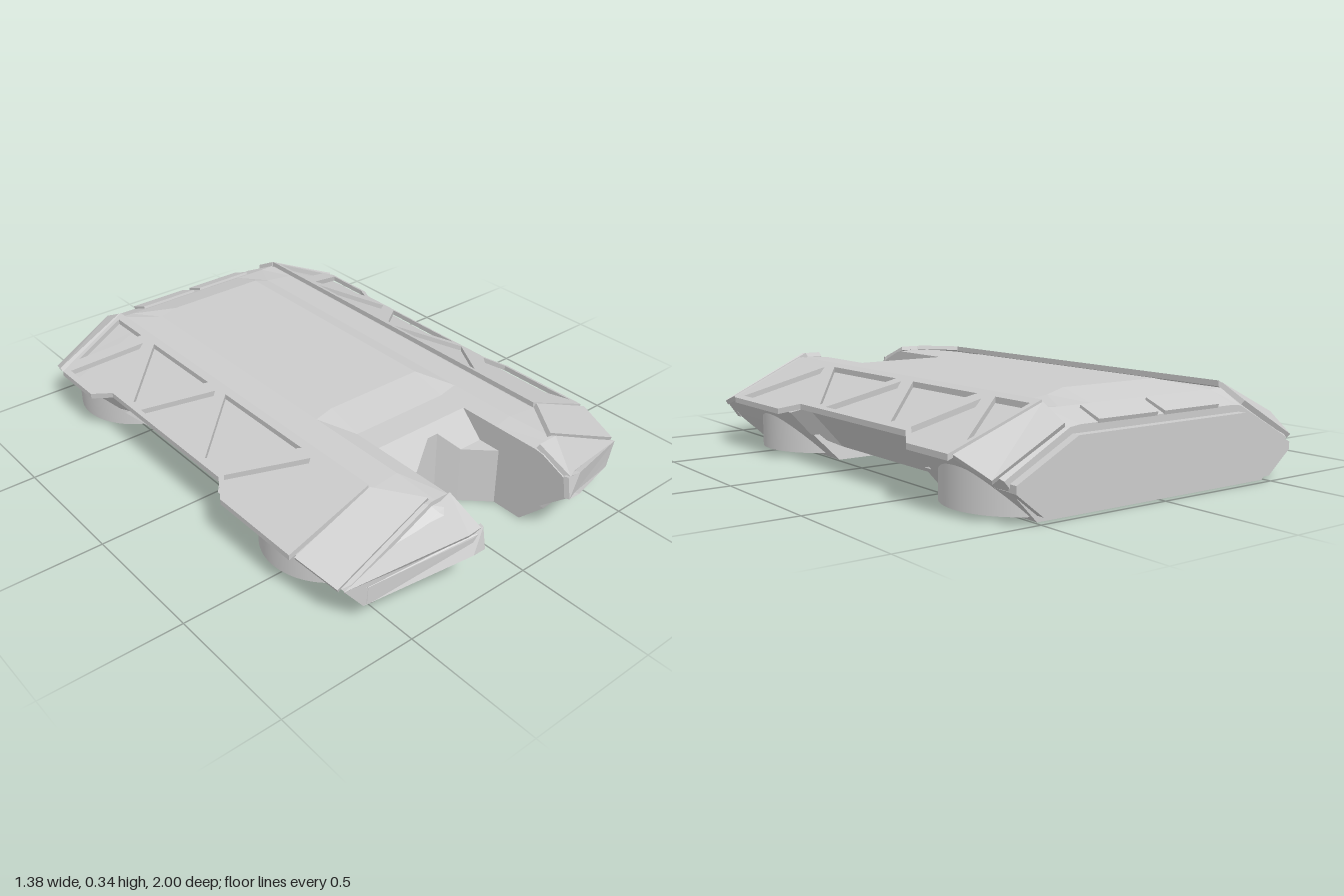
import * as THREE from 'three';

const material = new THREE.MeshStandardMaterial({ color: 0xcccccc, flatShading: true, side: THREE.DoubleSide });
const smooth = new THREE.MeshStandardMaterial({ color: 0xcccccc, side: THREE.DoubleSide });

// Faces are lists of [x, y, z] corners, fanned from the first corner
const flip = (faces) => faces.map((f) => f.map(([x, y, z]) => [-x, y, z]).reverse());
const both = (faces) => [...faces, ...flip(faces)];

function solid(faces) {
  const p = [];
  for (const f of faces)
    for (let i = 1; i < f.length - 1; i++) p.push(...f[0], ...f[i], ...f[i + 1]);
  const g = new THREE.BufferGeometry();
  g.setAttribute('position', new THREE.Float32BufferAttribute(p, 3));
  g.computeVertexNormals();
  return g;
}

// Quads between successive cross-sections
function loft(sections, closed = false) {
  const faces = [];
  for (let s = 0; s < sections.length - 1; s++) {
    const a = sections[s], b = sections[s + 1], n = a.length;
    for (let i = 0; i < (closed ? n : n - 1); i++) {
      const j = (i + 1) % n;
      faces.push([a[i], b[i], b[j], a[j]]);
    }
  }
  return faces;
}

// Thin plate: corner loop thickened away from the hint direction
function plate(points, t, hint) {
  const n = new THREE.Vector3();
  points.forEach((p, i) => {
    const q = points[(i + 1) % points.length];
    n.add(new THREE.Vector3(...p).cross(new THREE.Vector3(...q)));
  });
  n.normalize();
  let top = points;
  if (n.dot(new THREE.Vector3(...hint)) < 0) { top = [...points].reverse(); n.negate(); }
  const low = top.map(([x, y, z]) => [x - n.x * t, y - n.y * t, z - n.z * t]);
  return [top, [...low].reverse(), ...loft([top, low], true)];
}

export function createModel() {
  const root = new THREE.Group();
  const add = (name, geometry, mat = material) => {
    const m = new THREE.Mesh(geometry, mat);
    m.name = name;
    root.add(m);
    return m;
  };

  // Half section: centre top, roof edge, shoulder, deck edge, side edge, lower edge, centre bottom
  const section = (z, x0, yTop, [cx, cy], [dx, dy], [ex, ey], [fx, fy]) =>
    [[x0, yTop, z], [0.2, yTop, z], [cx, cy, z], [dx, dy, z], [ex, ey, z], [fx, fy, z], [x0, fy, z]];
  const C = [0.265, 0.327], D = [0.385, 0.312];
  const wide = [[0.665, 0.187], [0.585, 0.1]], slim = [[0.62, 0.207], [0.48, 0.05]];
  const body = [
    section(-0.97, 0, 0.27, [0.33, 0.27], [0.37, 0.265], [0.61, 0.135], [0.58, 0.1]),
    section(-0.87, 0, 0.31, [0.33, 0.31], D, [0.655, 0.182], wide[1]),
    section(-0.74, 0, 0.345, C, D, ...wide),
    section(-0.57, 0, 0.345, C, D, ...wide),
    section(-0.5, 0, 0.345, C, D, ...slim),
    section(0.17, 0, 0.345, C, D, ...slim),
    section(0.22, 0, 0.345, C, D, ...wide),
    section(0.25, 0, 0.345, C, D, ...wide),
    section(0.39, 0, 0.31, C, D, ...wide),
    section(0.5, 0, 0.31, C, D, ...wide),
  ];
  add('hull', solid(both([...loft(body), body[0]])));

  // Front prongs either side of the slot
  const prong = [
    section(0.5, 0.2, 0.31, C, D, ...wide),
    section(0.66, 0.2, 0.31, C, D, ...wide),
    section(0.84, 0.2, 0.31, [0.26, 0.315], [0.29, 0.315], [0.63, 0.15], [0.585, 0.1]),
    section(0.87, 0.2, 0.305, [0.25, 0.305], [0.28, 0.3], [0.565, 0.155], [0.57, 0.09]),
    section(0.985, 0.2, 0.255, [0.21, 0.255], [0.22, 0.255], [0.24, 0.25], [0.24, 0.19]),
  ];
  add('prongs', solid(both([...loft(prong, true), [...prong[4]].reverse()])));

  // Notched block at the back of the slot
  const a = [0.045, 0.28, 0.53], b = [0.105, 0.22, 0.59], c = [0.2, 0.22, 0.68], d = [0.2, 0.22, 0.59];
  const edge = [[0, 0.28, 0.53], a, b, c];
  add('slotBlock', solid(both([
    [a, b, d, [0.2, 0.31, 0.5], [0, 0.31, 0.5], [0, 0.28, 0.53]],
    [b, c, d],
    ...loft([edge, edge.map(([x, , z]) => [x, 0, z])]),
  ])));

  // Hollow lower frames: outer top, outer bottom, inner bottom and inner top loops
  const ring = (half, y) => {
    const right = half.map(([x, z, h]) => [x, h ?? y, z]);
    return [...right, ...right.map(([x, yy, z]) => [-x, yy, z]).reverse()];
  };
  const skirt = (name, top, low, inner) =>
    add(name, solid(loft([ring(top, 0.1), ring(low, 0), ring(inner, 0), ring(inner, 0.1)], true)));
  skirt('rearSkirt',
    [[0.585, -0.53], [0.585, -0.97]],
    [[0.49, -0.52], [0.49, -0.97]],
    [[0.42, -0.57], [0.42, -0.91]]);
  skirt('frontSkirt',
    [[0.585, 0.2], [0.585, 0.865], [0.2, 0.9], [0.2, 0.68], [0.045, 0.53]],
    [[0.49, 0.18], [0.49, 0.8], [0.2, 0.8], [0.2, 0.68], [0.045, 0.53]],
    [[0.44, 0.23], [0.44, 0.75], [0.25, 0.75], [0.25, 0.65], [0.065, 0.47]]);

  // Open drums showing under each corner
  for (const side of [1, -1])
    for (const z of [0.47, -0.745]) {
      const drum = new THREE.Group();
      drum.name = 'drum';
      const arc = 2.3, start = side * Math.PI / 2 - arc / 2;
      const wall = new THREE.Mesh(new THREE.CylinderGeometry(0.24, 0.24, 0.15, 32, 1, true, start, arc), smooth);
      wall.position.y = 0.09;
      const lip = new THREE.Mesh(
        new THREE.RingGeometry(0.222, 0.24, 32, 1, (side > 0 ? 0 : Math.PI) - arc / 2, arc), smooth);
      lip.rotation.x = Math.PI / 2;
      lip.position.y = 0.015;
      wall.name = 'drumWall';
      lip.name = 'drumLip';
      drum.add(wall, lip);
      drum.position.set(side * 0.39, 0, z);
      root.add(drum);
    }

  // Sloped side armour with triangular cut-outs, drawn as [x, z]
  const outline = [[0.385, -0.86], [0.69, -0.81], [0.69, -0.59], [0.64, -0.51], [0.64, 0.19],
    [0.69, 0.27], [0.69, 0.64], [0.385, 0.66]];
  const cutouts = [
    [[0.62, -0.805], [0.41, -0.835], [0.41, -0.665]],
    [[0.67, -0.78], [0.43, -0.62], [0.62, -0.51], [0.67, -0.595]],
    [[0.41, -0.57], [0.62, -0.39], [0.41, -0.2]],
    [[0.625, -0.33], [0.42, -0.14], [0.625, 0.03]],
    [[0.41, -0.09], [0.62, 0.08], [0.41, 0.35]],
    [[0.625, 0.2], [0.42, 0.41], [0.67, 0.6], [0.67, 0.275]],
  ];
  const path = (pts) => pts.map(([x, z]) => new THREE.Vector2(x, -z));
  const shape = new THREE.Shape(path(outline));
  cutouts.forEach((h) => shape.holes.push(new THREE.Path(path(h))));
  const flat = new THREE.ExtrudeGeometry(shape, { depth: 0.02, bevelEnabled: false }).rotateX(-Math.PI / 2);
  const pos = flat.attributes.position, faces = [];
  for (let i = 0; i < pos.count; i += 3)
    faces.push([i, i + 1, i + 2].map((k) => {
      const x = pos.getX(k);
      return [x, pos.getY(k) + 0.315 - (x - 0.385) * 0.45, pos.getZ(k)];
    }));
  add('leftSideArmour', solid(faces));
  add('rightSideArmour', solid(flip(faces)));

  // Corner plates and nose plates
  const plates = {
    rearCornerPlates: [[[0.39, 0.33, -0.87], [0.69, 0.2, -0.835], [0.645, 0.14, -0.96], [0.39, 0.28, -0.97]], [0, 1, 0]],
    frontCornerPlates: [[[0.39, 0.335, 0.67], [0.685, 0.2, 0.66], [0.65, 0.16, 0.825], [0.285, 0.333, 0.825]], [0, 1, 0]],
    nosePlates: [[[0.21, 0.33, 0.845], [0.29, 0.33, 0.845], [0.64, 0.16, 0.845], [0.26, 0.27, 0.985], [0.21, 0.275, 0.985]], [0, 1, 0.5]],
    noseFaces: [[[0.2, 0.275, 0.985], [0.26, 0.27, 0.985], [0.64, 0.16, 0.845], [0.58, 0.085, 0.865], [0.25, 0.195, 1], [0.2, 0.195, 1]], [0, 0, 1]],
    rearLamps: [[[0.015, 0.312, -0.89], [0.26, 0.312, -0.89], [0.26, 0.28, -0.975], [0.015, 0.28, -0.975]], [0, 1, 0]],
  };
  for (const [name, [pts, hint]] of Object.entries(plates)) add(name, solid(both(plate(pts, 0.018, hint))));

  // Flat tail panel
  const tail = [[0.36, 0.245], [0.59, 0.125], [0.59, 0.1], [0.49, 0.02]];
  const tailShape = new THREE.Shape(
    [...tail, ...tail.map(([x, y]) => [-x, y]).reverse()].map(([x, y]) => new THREE.Vector2(x, y)));
  add('tailPanel', new THREE.ExtrudeGeometry(tailShape, { depth: 0.035, bevelEnabled: false }).translate(0, 0, -1));

  return root;
}
